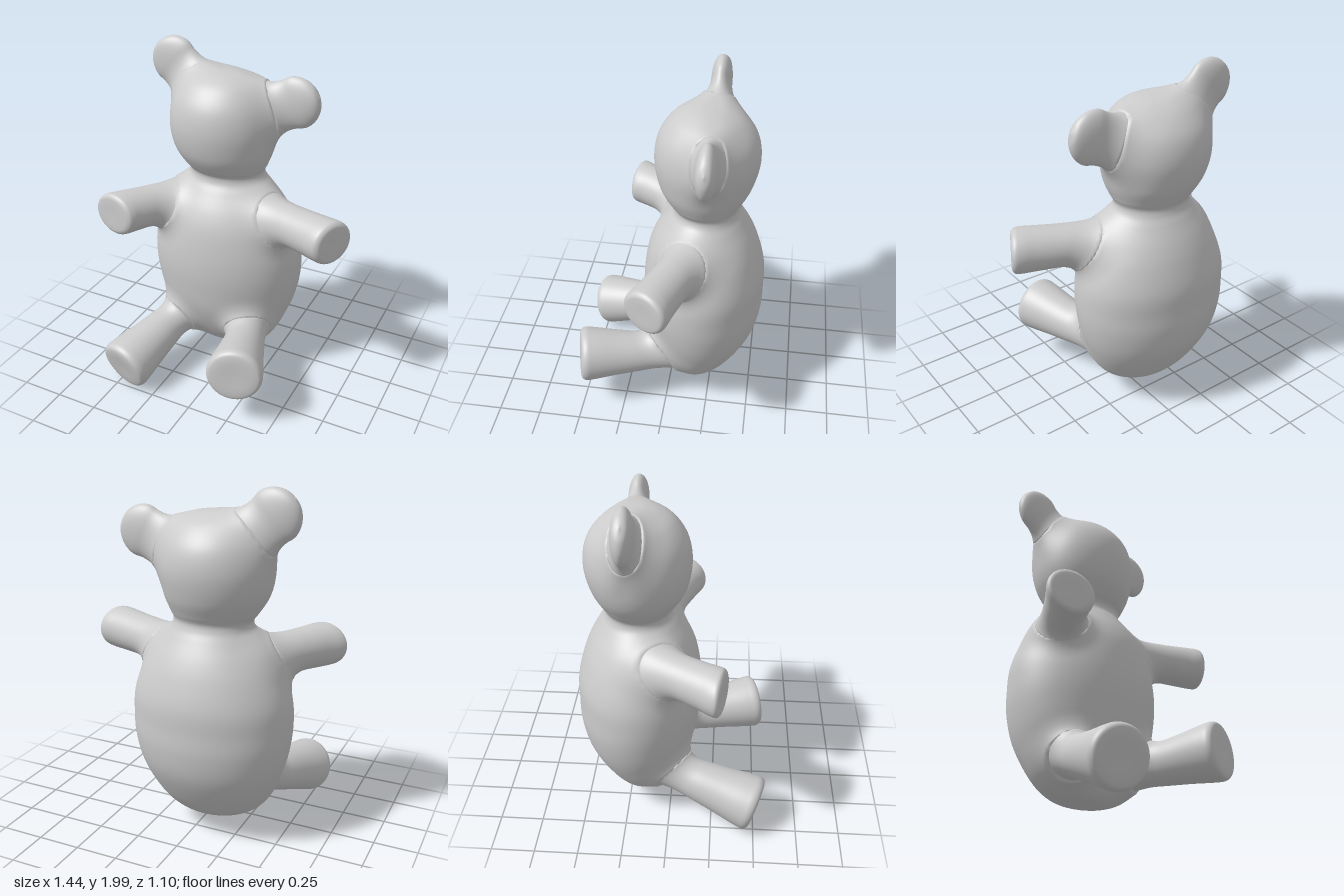
import * as THREE from 'three';

const material = new THREE.MeshStandardMaterial({ color: 0xcccccc, roughness: 0.8 });
const V = (a) => new THREE.Vector3(...a);

// Smooth loft along local y through sections [y, half width, z front, z back].
// tilt slants the far end across local x.
function loft(sections, length = 1, tilt = 0, steps = 8, sides = 72) {
  const curveOf = (k) => new THREE.CatmullRomCurve3(
    sections.map((s) => new THREE.Vector3(s[0] * length, s[1], s[k])), false, 'centripetal');
  const fronts = curveOf(2), backs = curveOf(3);
  const rings = (sections.length - 1) * steps;
  const pos = [], idx = [];
  for (let i = 0; i <= rings; i++) {
    const f = fronts.getPoint(i / rings), b = backs.getPoint(i / rings);
    const mid = (f.z + b.z) / 2, depth = Math.max(0, (f.z - b.z) / 2), width = Math.max(0, f.y);
    for (let j = 0; j < sides; j++) {
      const a = (j / sides) * Math.PI * 2;
      const x = Math.cos(a) * width;
      pos.push(x, f.x + tilt * x * (f.x / length) ** 2, mid + Math.sin(a) * depth);
      if (i < rings) {
        const p = i * sides + j, q = i * sides + (j + 1) % sides;
        idx.push(p, p + sides, q, p + sides, q + sides, q);
      }
    }
  }
  const geo = new THREE.BufferGeometry();
  geo.setAttribute('position', new THREE.Float32BufferAttribute(pos, 3));
  geo.setIndex(idx);
  geo.computeVertexNormals();
  return geo;
}

// Distance fields: each returns the distance d to a simple shape and its normal n
const ellipsoid = (centre, radii) => (p) => {
  const r = V(radii);
  const unit = p.clone().sub(V(centre)).divide(r);
  const n = unit.clone().divide(r);
  const d = unit.length() * (unit.length() - 1) / n.length();
  return { d, n: n.normalize() };
};
const taperedRod = (from, to, r0, r1, flat = 1) => (p) => {
  const axis = to.clone().sub(from), q = p.clone().sub(from);
  const t = THREE.MathUtils.clamp(q.dot(axis) / axis.lengthSq(), 0, 1);
  q.addScaledVector(axis, -t);
  q.z *= flat;
  const size = Math.max(q.length(), 1e-6);
  const n = q.clone().divideScalar(size);
  n.z *= flat;
  const slope = Math.max(n.length(), 1e-6);
  return { d: (size - r0 - (r1 - r0) * t) / slope, n: n.divideScalar(slope) };
};

// Raise the skin into a soft fillet wherever it runs close to a neighbouring shape
function fillet(geo, fields, k) {
  const pos = geo.attributes.position, nor = geo.attributes.normal;
  const p = new THREE.Vector3(), own = new THREE.Vector3();
  for (let i = 0; i < pos.count; i++) {
    p.fromBufferAttribute(pos, i);
    own.fromBufferAttribute(nor, i);
    const shift = new THREE.Vector3();
    for (const field of fields) {
      const { d, n } = field(p);
      const h = 1 - Math.abs(d) / k;
      if (h <= 0) continue;
      const dir = own.clone().lerp(n, 0.5 - 0.5 * d / k);
      shift.addScaledVector(dir, h * h * k / 4 / Math.max(0.35, dir.lengthSq()));
    }
    p.add(shift);
    pos.setXYZ(i, p.x, p.y, p.z);
  }
  geo.computeVertexNormals();
}

// Symmetric loft from root to tip with local z kept close to "up", blended into its host
function limb(name, root, tip, profile, up, host, k, tilt = 0) {
  const start = V(root), y = V(tip).sub(start);
  const length = y.length();
  y.normalize();
  const z = V(up);
  z.addScaledVector(y, -z.dot(y)).normalize();
  const x = new THREE.Vector3().crossVectors(y, z);
  const geo = loft(profile.map(([t, w, d = w]) => [t, w, d, -d]), length, tilt);
  geo.applyMatrix4(new THREE.Matrix4().makeBasis(x, y, z).setPosition(start));
  fillet(geo, [host], k);
  const mesh = new THREE.Mesh(geo, material);
  mesh.name = name;
  return mesh;
}

export function createModel() {
  const group = new THREE.Group();
  group.name = 'teddyBear';
  const torso = ellipsoid([-0.08, 0.705, -0.185], [0.465, 0.585, 0.355]);
  const head = ellipsoid([-0.105, 1.572, -0.18], [0.315, 0.3, 0.29]);
  const blend = 0.14;

  // Arms and legs end in flat, round-edged pads
  const arm = [[0, 0], [0.04, 0.055], [0.15, 0.095], [0.35, 0.116], [0.6, 0.12], [0.8, 0.125],
    [0.91, 0.132, 0.126], [0.965, 0.13, 0.123], [0.992, 0.116, 0.108], [1, 0.09, 0.084], [1, 0]];
  const leg = [[0, 0], [0.04, 0.055], [0.15, 0.092], [0.4, 0.117], [0.65, 0.137], [0.88, 0.158],
    [0.95, 0.161], [0.985, 0.15], [1, 0.122], [1, 0]];
  const limbs = [
    ['leftArm', [0.1, 1.06, -0.15], [0.677, 1.076, 0.055], arm, -0.15],
    ['rightArm', [-0.31, 1.06, -0.15], [-0.59, 1.066, 0.297], arm, 0.35],
    ['leftLeg', [0.13, 0.32, -0.1], [0.3, 0.36, 0.515], leg, 0],
    ['rightLeg', [-0.29, 0.33, -0.1], [-0.445, 0.16, 0.515], leg, 0],
  ];
  const neighbours = [];
  for (const [name, root, tip, profile, tilt] of limbs) {
    group.add(limb(name, root, tip, profile, [0, 1, 0], torso, blend, tilt));
    neighbours.push(taperedRod(V(root), V(tip), profile === arm ? 0.1 : 0.086, profile === arm ? 0.128 : 0.164));
  }

  // Flat round ears spreading out from the head
  const ear = [[0.25, 0], [0.28, 0.07, 0.03], [0.37, 0.118, 0.055], [0.55, 0.128, 0.058], [0.68, 0.139, 0.058],
    [0.79, 0.146, 0.058], [0.9, 0.117, 0.05], [0.97, 0.066, 0.034], [1, 0, 0]];
  const earRoot = [-0.1, 1.57, -0.215];
  for (const [name, tip] of [['leftEar', [0.45, 1.78, -0.215]], ['rightEar', [-0.543, 1.955, -0.215]]]) {
    group.add(limb(name, earRoot, tip, ear, [0, 0, 1], head, blend));
    const inner = V(earRoot).lerp(V(tip), 0.37), outer = V(earRoot).lerp(V(tip), 0.75);
    neighbours.push(taperedRod(inner, outer, 0.118, 0.145, 2.2));
  }

  // Plump torso, neck and round head in one skin, the head set slightly to its right
  const skin = loft([
    [0.12, 0, -0.18, -0.18], [0.125, 0.16, -0.07, -0.28], [0.18, 0.27, 0, -0.35],
    [0.3, 0.36, 0.075, -0.435], [0.45, 0.425, 0.135, -0.51], [0.6, 0.458, 0.16, -0.54],
    [0.72, 0.465, 0.17, -0.541], [0.85, 0.455, 0.165, -0.538], [1.0, 0.405, 0.14, -0.5],
    [1.1, 0.345, 0.1, -0.46], [1.2, 0.265, 0.035, -0.405], [1.25, 0.23, 0.002, -0.378],
    [1.285, 0.225, 0, -0.372], [1.33, 0.25, 0.035, -0.395], [1.42, 0.292, 0.085, -0.44],
    [1.57, 0.315, 0.11, -0.472], [1.7, 0.29, 0.088, -0.45], [1.8, 0.225, 0.02, -0.375],
    [1.85, 0.14, -0.06, -0.29], [1.868, 0.06, -0.13, -0.22], [1.87, 0, -0.175, -0.175],
  ]);
  const pos = skin.attributes.position;
  for (let i = 0; i < pos.count; i++) {
    pos.setX(i, pos.getX(i) - 0.08 - 0.025 * THREE.MathUtils.smoothstep(pos.getY(i), 1.2, 1.5));
  }
  fillet(skin, neighbours, blend);
  const body = new THREE.Mesh(skin, material);
  body.name = 'bodyAndHead';
  group.add(body);
  return group;
}
